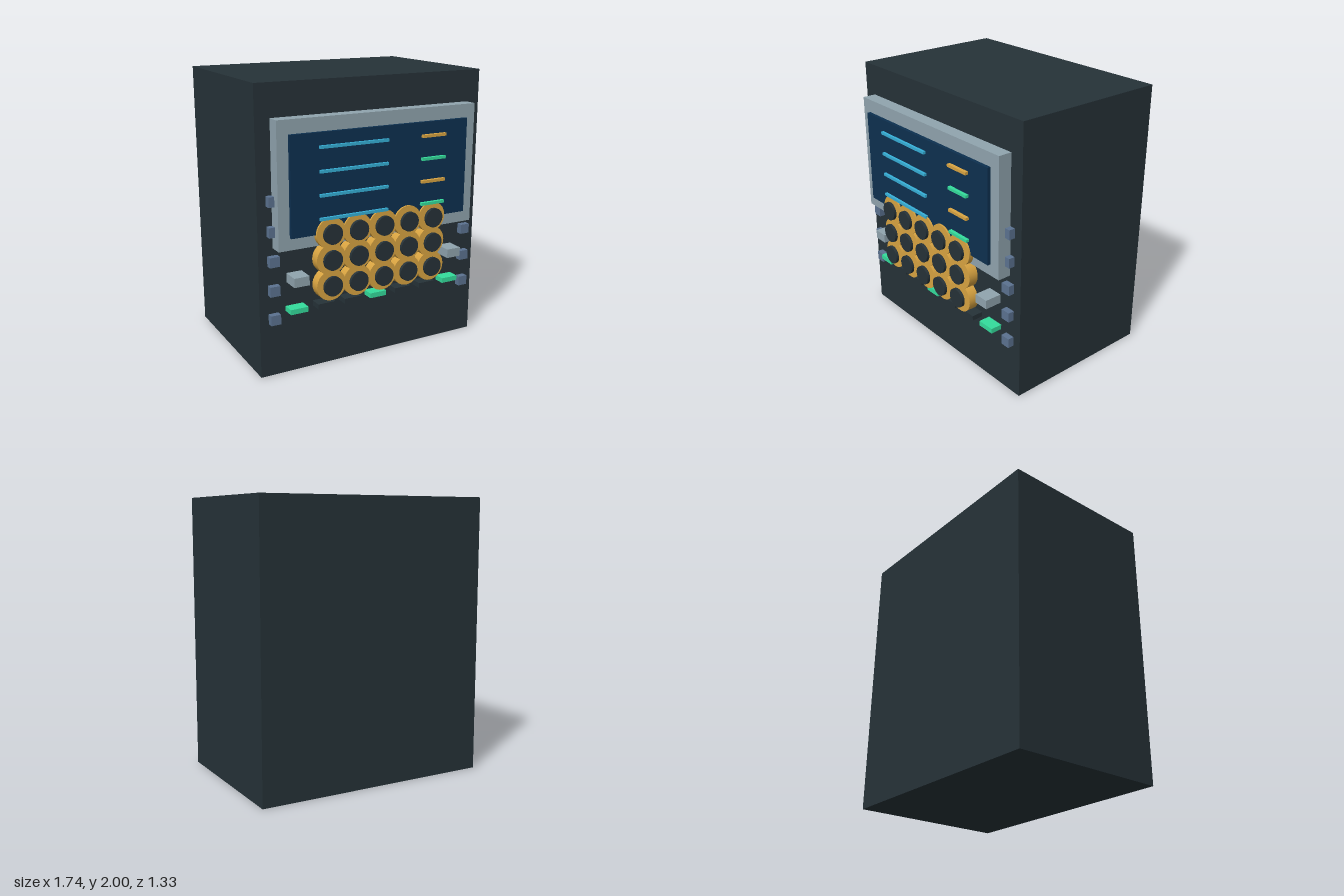
import * as THREE from 'three';

const mat = (name, color) => {
  const m = new THREE.MeshStandardMaterial({ color });
  m.name = name;
  return m;
};

export function createModel() {
  const model = new THREE.Group();
  model.name = 'controlCabinet';
  const dark = mat('charcoal', 0x263238);
  const grey = mat('paleGrey', 0x90a4ae);
  const navy = mat('navyScreen', 0x0d3050);
  const cyan = mat('cyan', 0x36b0d8);
  const gold = mat('gold', 0xd9a441);
  const green = mat('green', 0x34dc9c);
  const slate = mat('slate', 0x5b7290);

  const FRONT = 0.495; // cabinet front plane

  // Box given by its extents on each axis
  const box = (name, material, x0, x1, y0, y1, z0, z1) => {
    const mesh = new THREE.Mesh(new THREE.BoxGeometry(x1 - x0, y1 - y0, z1 - z0), material);
    mesh.position.set((x0 + x1) / 2, (y0 + y1) / 2, (z0 + z1) / 2);
    mesh.name = name;
    model.add(mesh);
  };
  // Disc facing the front
  const disc = (name, material, r, x, y, z0, z1) => {
    const geo = new THREE.CylinderGeometry(r, r, z1 - z0, 32).rotateX(Math.PI / 2);
    const mesh = new THREE.Mesh(geo, material);
    mesh.position.set(x, y, (z0 + z1) / 2);
    mesh.name = name;
    model.add(mesh);
  };

  // Cabinet and display
  box('cabinet', dark, -0.87, 0.87, 0, 2, -0.665, FRONT);
  box('screenBezel', grey, -0.765, 0.765, 0.915, 1.775, FRONT, 0.593);
  box('screen', navy, -0.685, 0.685, 1.0, 1.68, 0.593, 0.618);

  // Readout lines on the screen
  for (let i = 0; i < 4; i++) {
    const y = 1.585 - i * 0.16;
    box('readoutLine', cyan, -0.48, 0.035, y - 0.01, y + 0.01, 0.618, 0.637);
    box('readoutValue', i % 2 ? green : gold, 0.305, 0.495, y - 0.01, y + 0.01, 0.618, 0.643);
  }

  // Dial grid: gold collar with a dark cap standing in front
  for (const y of [1.0, 0.818, 0.635]) {
    for (let col = -2; col <= 2; col++) {
      disc('dialCollar', gold, 0.109, col * 0.2, y, 0.56, 0.631);
      disc('dialCap', dark, 0.069, col * 0.2, y, 0.643, 0.665);
    }
  }

  // Row of indicator keys, every third one lit
  for (let i = -3; i <= 3; i++) {
    const x = i * 0.205;
    box('indicatorKey', i % 3 ? dark : green, x - 0.065, x + 0.065, 0.454, 0.49, FRONT, 0.58);
  }

  // Side studs and levers, mirrored
  for (const s of [-1, 1]) {
    for (let i = 0; i < 5; i++) {
      const y = 1.24 - i * 0.205, x = s * 0.77;
      box('sideStud', slate, x - 0.036, x + 0.036, y - 0.035, y + 0.035, FRONT, 0.54);
    }
    const x = s * 0.614;
    box('lever', grey, x - 0.056, x + 0.056, 0.66, 0.725, FRONT, 0.62);
  }
  return model;
}
